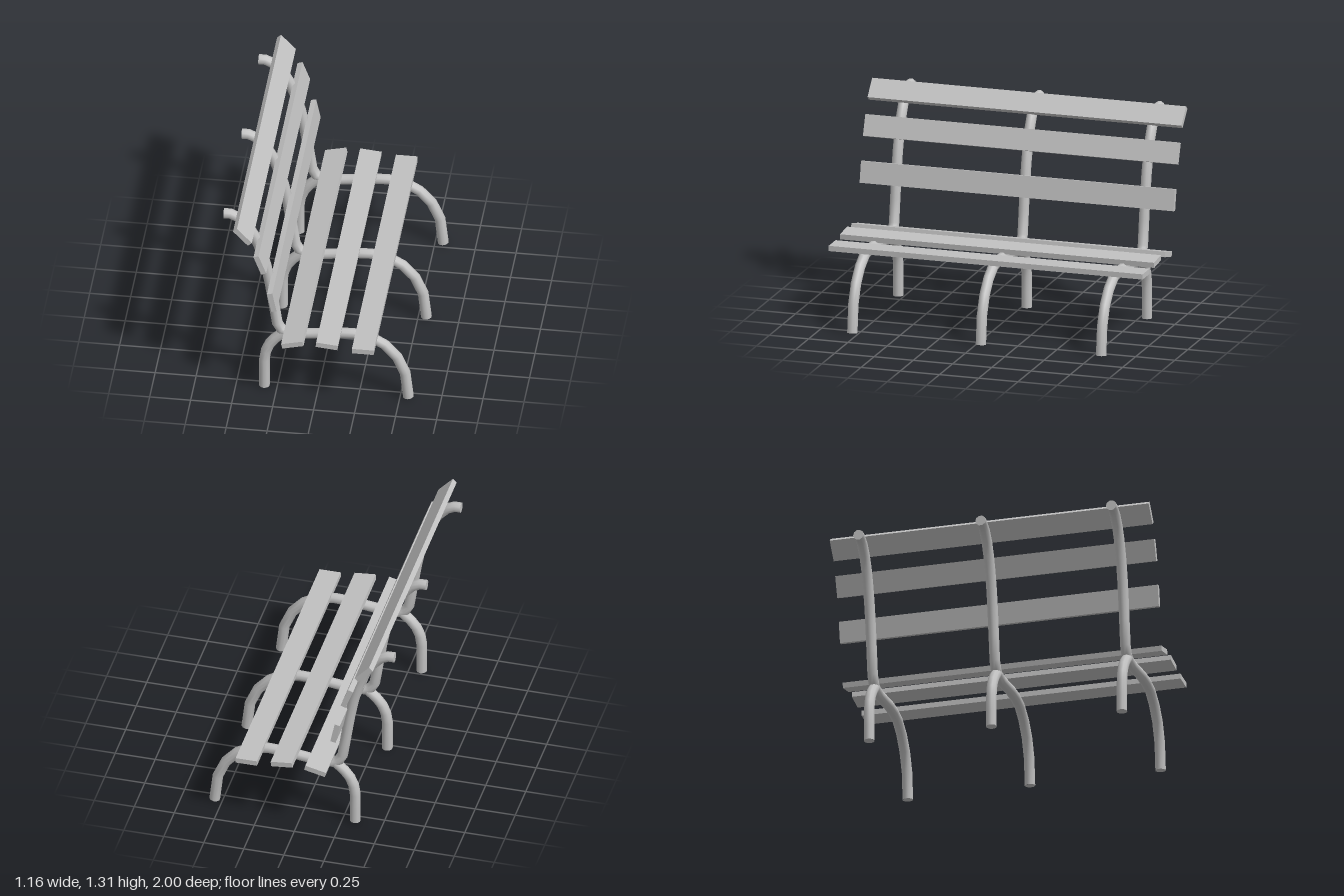
import * as THREE from 'three';

const RADIUS = 0.033;
const SIDES = 10;

// Tube whose rings sit exactly on the given centreline points
function bentPipe(points, material, name) {
  const curve = new THREE.CatmullRomCurve3(points.map(([x, y]) => new THREE.Vector3(x, y, 0)));
  curve.getPointAt = curve.getPoint;
  curve.getTangentAt = curve.getTangent;
  const group = new THREE.Group();
  group.name = name;
  const pipe = new THREE.Mesh(
    new THREE.TubeGeometry(curve, points.length - 1, RADIUS, SIDES, false), material);
  pipe.name = name + 'Tube';
  group.add(pipe);

  // Flat discs close both ends
  for (const [t, sign] of [[0, -1], [1, 1]]) {
    const cap = new THREE.Mesh(new THREE.CircleGeometry(RADIUS, SIDES), material);
    cap.name = name + 'End';
    cap.position.copy(curve.getPoint(t));
    cap.quaternion.setFromUnitVectors(
      new THREE.Vector3(0, 0, 1), curve.getTangent(t).multiplyScalar(sign));
    group.add(cap);
  }
  return group;
}

export function createModel() {
  const model = new THREE.Group();
  model.name = 'bench';
  const grey = new THREE.MeshStandardMaterial({ color: 0xc0c0c0 });
  grey.name = 'light grey';

  // Back support, seat support and front leg in one continuous bend
  const mainPath = [
    [-0.575, 1.268], [-0.535, 1.268], [-0.485, 1.245], [-0.43, 1.188], [-0.388, 1.115],
    [-0.352, 1.02], [-0.32, 0.91], [-0.295, 0.78], [-0.272, 0.63], [-0.25, 0.48],
    [-0.225, 0.435], [-0.19, 0.415], [-0.115, 0.41], [0.005, 0.425], [0.11, 0.44],
    [0.215, 0.444], [0.315, 0.43], [0.405, 0.378], [0.48, 0.295], [0.53, 0.18], [0.55, 0.005],
  ];
  // Rear leg curving up into the bend
  const rearPath = [
    [-0.328, 0.004], [-0.328, 0.1], [-0.328, 0.2], [-0.318, 0.265],
    [-0.295, 0.32], [-0.26, 0.365], [-0.205, 0.415],
  ];

  for (const z of [0.788, -0.031, -0.797]) {
    const frame = new THREE.Group();
    frame.name = 'frame';
    frame.position.z = z;
    frame.add(bentPipe(mainPath, grey, 'mainRail'), bentPipe(rearPath, grey, 'rearLeg'));
    model.add(frame);
  }

  // Slats: name, centre x, centre y, tilt in degrees
  const slats = [
    ['topBackSlat', -0.434, 1.254, -47],
    ['middleBackSlat', -0.328, 1.054, -69.5],
    ['lowerBackSlat', -0.255, 0.781, -78.5],
    ['rearSeatSlat', -0.13, 0.475, 13.5],
    ['middleSeatSlat', 0.08, 0.486, -5.5],
    ['frontSeatSlat', 0.3, 0.466, 0],
  ];
  const plank = new THREE.BoxGeometry(0.133, 0.033, 2);
  for (const [name, x, y, tilt] of slats) {
    const slat = new THREE.Mesh(plank, grey);
    slat.name = name;
    slat.position.set(x, y, 0);
    slat.rotation.z = THREE.MathUtils.degToRad(tilt);
    model.add(slat);
  }
  return model;
}
